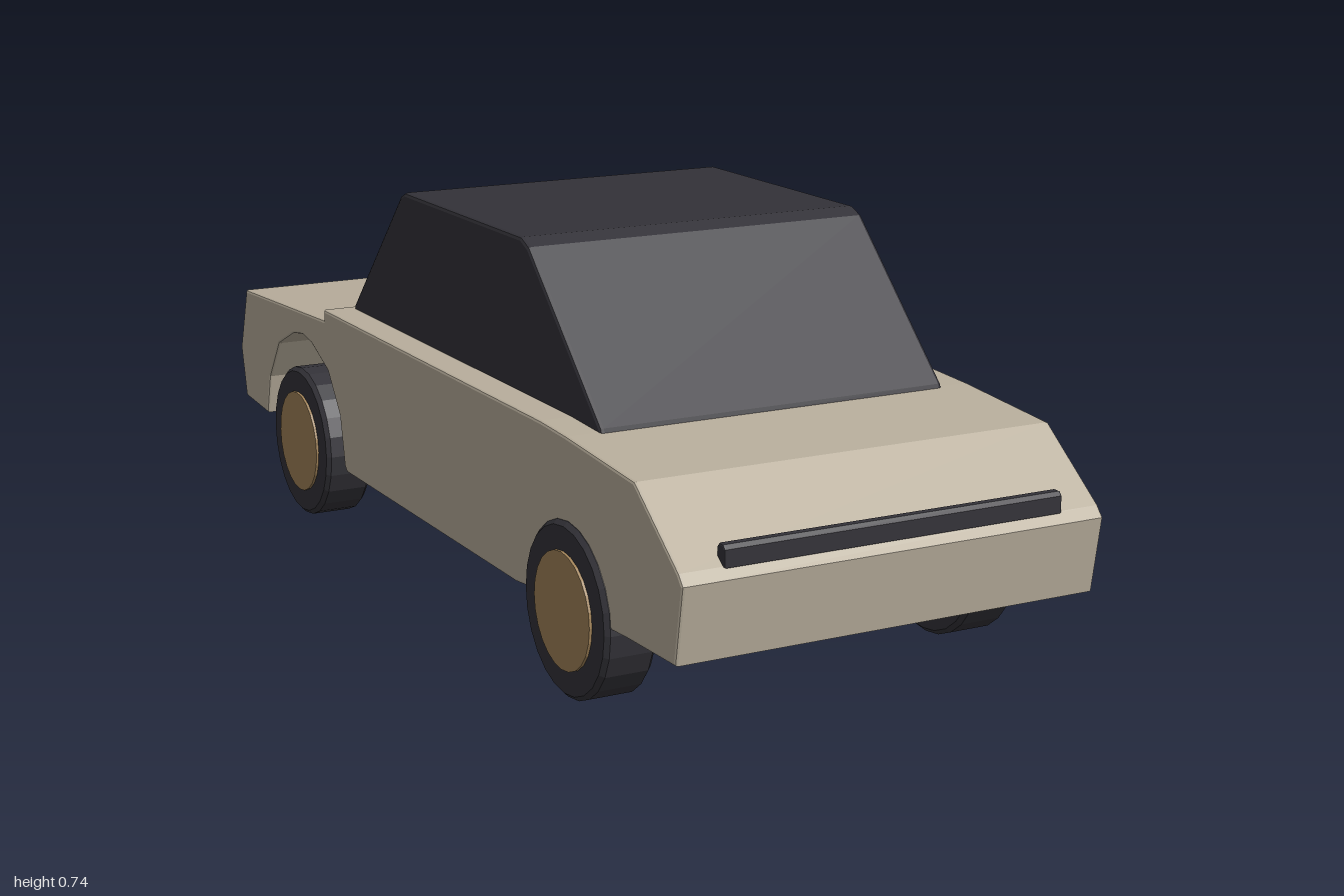
import * as THREE from 'three';

const material = (color) => new THREE.MeshStandardMaterial({ color, flatShading: true });
const paint = material(0xb8ae9c);
const dark = material(0x333238);
const brass = material(0xa08258);

// Side profile of [z, y] points, extruded across the car with softened edges
function slab(name, profile, halfWidth, bevel, mat) {
  const shape = new THREE.Shape(profile.map(([z, y]) => new THREE.Vector2(z, y)));
  const geometry = new THREE.ExtrudeGeometry(shape, {
    depth: 2 * (halfWidth - bevel),
    bevelEnabled: true, bevelThickness: bevel, bevelSize: bevel,
    bevelOffset: -bevel, bevelSegments: 2,
  });
  geometry.translate(0, 0, -(halfWidth - bevel));
  geometry.rotateY(-Math.PI / 2);
  const mesh = new THREE.Mesh(geometry, mat);
  mesh.name = name;
  return mesh;
}

// Wheel: chamfered tyre with a hub disc showing on both faces
function wheel(name, side, z) {
  const group = new THREE.Group();
  group.name = name;
  const r = 0.155, h = 0.0485, c = 0.008;
  const section = [[0, -h], [r - c, -h], [r, c - h], [r, h - c], [r - c, h], [0, h]]
    .map(([x, y]) => new THREE.Vector2(x, y));
  const tyre = new THREE.Mesh(new THREE.LatheGeometry(section, 24), dark);
  tyre.name = 'tyre';
  const hub = new THREE.Mesh(new THREE.CylinderGeometry(0.104, 0.104, 0.107, 24), brass);
  hub.name = 'hub';
  group.add(tyre, hub);
  group.rotation.z = -Math.PI / 2;
  group.position.set(side * 0.3635, 0.156, z);
  return group;
}

export function createModel() {
  const car = new THREE.Group();
  car.name = 'car';

  // Body with wedge nose, stepped boot lid and open rear wheel arch
  car.add(slab('body', [
    [0.978, 0.174], [1.0, 0.31], [0.985, 0.328], [0.84, 0.438], [0.6, 0.455], [0.5, 0.459],
    [-0.492, 0.459], [-0.494, 0.437], [-0.955, 0.414], [-1.0, 0.28], [-0.975, 0.174], [-0.842, 0.165],
    [-0.82, 0.25], [-0.76, 0.335], [-0.67, 0.375], [-0.62, 0.383], [-0.57, 0.375],
    [-0.48, 0.335], [-0.42, 0.255], [-0.4, 0.155], [-0.39, 0.145],
    [0.4, 0.145], [0.45, 0.15], [0.82, 0.17],
  ].reverse(), 0.403, 0.005, paint));

  // Cabin
  car.add(slab('cabin', [
    [-0.482, 0.45], [0.61, 0.45], [0.606, 0.462], [0.335, 0.723], [0.305, 0.736],
    [-0.208, 0.736], [-0.228, 0.727], [-0.478, 0.466],
  ], 0.342, 0.007, dark));

  // Slim grille bar across the nose
  car.add(slab('grille', [
    [0.965, 0.326], [0.99, 0.326], [0.99, 0.356], [0.984, 0.363], [0.971, 0.363], [0.965, 0.356],
  ], 0.323, 0.003, dark));

  for (const side of [1, -1]) {
    const label = side > 0 ? 'Left' : 'Right';
    car.add(wheel('front' + label + 'Wheel', side, 0.608));
    car.add(wheel('rear' + label + 'Wheel', side, -0.622));
  }
  return car;
}
